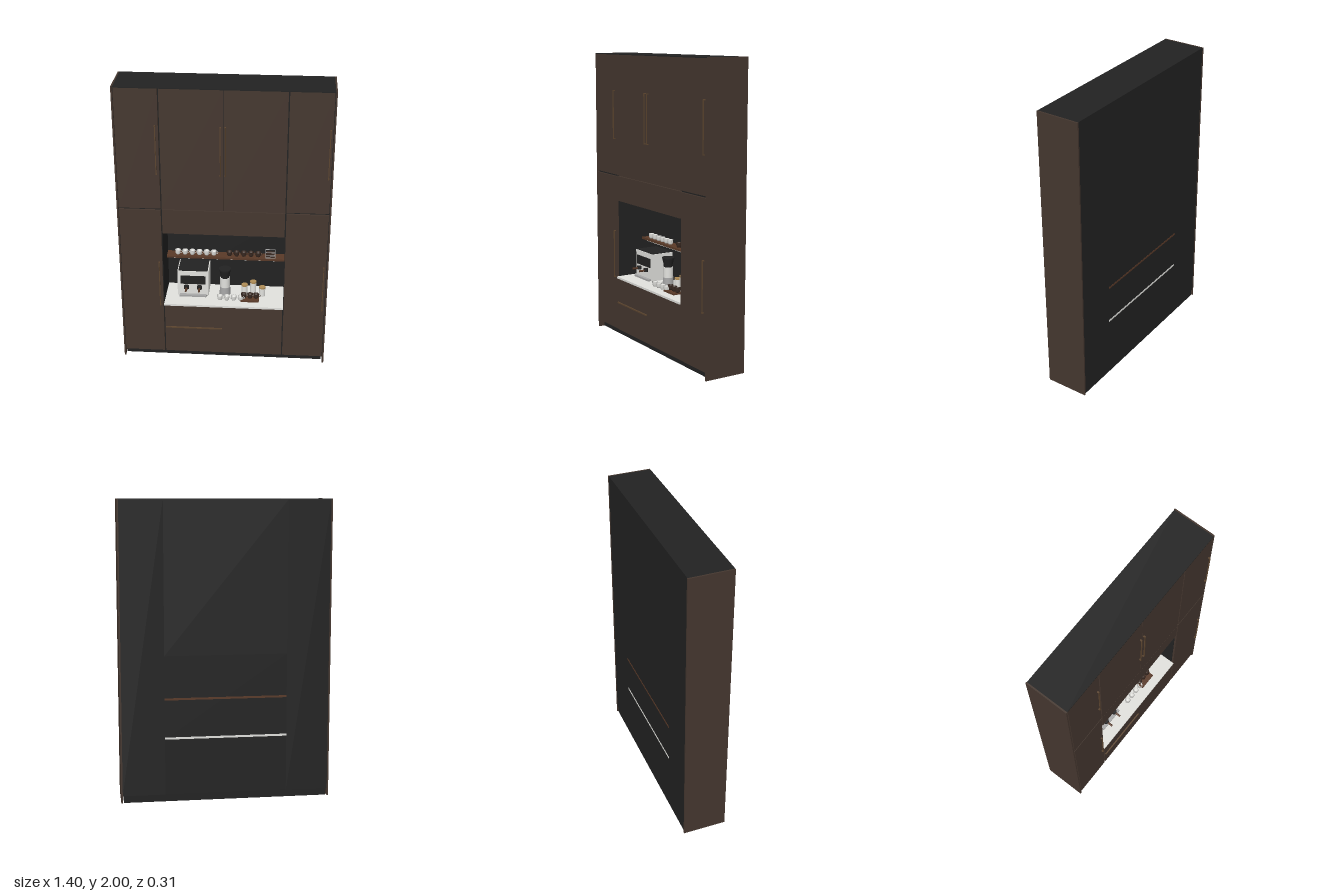
import * as THREE from 'three';

const mat = (name, color) => {
  const m = new THREE.MeshStandardMaterial({ color });
  m.name = name;
  return m;
};

export function createModel() {
  const root = new THREE.Group();
  root.name = 'coffeeCabinet';
  const brown = mat('brownVeneer', 0x45372f);
  const black = mat('blackCarcass', 0x222222);
  const wood = mat('walnut', 0x5a3a28);
  const white = mat('whiteStone', 0xe2e2de);
  const bronze = mat('bronze', 0x5c452f);
  const steel = mat('steel', 0xa8a8a8);
  const gold = mat('goldLid', 0xb08d57);
  const mocha = mat('darkCeramic', 0x3a2a22);

  // Box given by its limits on each axis
  const box = (name, m, x0, x1, y0, y1, z0, z1, parent = root) => {
    const mesh = new THREE.Mesh(new THREE.BoxGeometry(x1 - x0, y1 - y0, z1 - z0), m);
    mesh.position.set((x0 + x1) / 2, (y0 + y1) / 2, (z0 + z1) / 2);
    mesh.name = name;
    parent.add(mesh);
    return mesh;
  };
  // Upright cylinder standing at y
  const cyl = (name, m, rTop, rBottom, h, x, y, z, parent = root) => {
    const mesh = new THREE.Mesh(new THREE.CylinderGeometry(rTop, rBottom, h, 24), m);
    mesh.position.set(x, y + h / 2, z);
    mesh.name = name;
    parent.add(mesh);
    return mesh;
  };
  const group = (name) => {
    const g = new THREE.Group();
    g.name = name;
    root.add(g);
    return g;
  };

  // Carcass around the open niche
  const back = -0.152, inner = 0.126, front = 0.14;
  for (const s of [-1, 1]) {
    const span = (a, b) => (s > 0 ? [a, b] : [-b, -a]);
    box('sidePanel', brown, ...span(0.692, 0.702), 0, 2, -0.155, front);
    box('sideColumn', black, ...span(0.408, 0.692), 0.05, 1.995, back, inner);
    box('upperSideDoor', brown, ...span(0.412, 0.688), 1.167, 1.994, inner, front);
    box('lowerSideDoor', brown, ...span(0.412, 0.688), 0.054, 1.155, inner, front);
    box('upperCentreDoor', brown, ...span(0.001, 0.404), 1.163, 1.994, inner, front);
  }
  box('upperCarcass', black, -0.408, 0.408, 0.985, 1.995, back, inner);
  box('lowerCarcass', black, -0.408, 0.408, 0.05, 0.425, back, inner);
  box('nicheBack', black, -0.408, 0.408, 0.425, 0.985, back, -0.14);
  box('topPanel', black, -0.692, 0.692, 1.994, 2, back, front);
  box('toeKick', black, -0.684, 0.684, 0.002, 0.05, -0.148, 0.1);
  box('nicheHeader', brown, -0.404, 0.404, 0.985, 1.159, inner, front);
  box('drawerFront', brown, -0.404, 0.404, 0.054, 0.424, inner, front);

  // Worktop, shelf and light strips
  box('worktop', white, -0.408, 0.408, 0.426, 0.44, -0.1535, 0.146);
  box('shelf', wood, -0.408, 0.408, 0.69, 0.704, -0.1535, -0.06);
  box('nicheLight', white, -0.38, 0.38, 0.977, 0.985, 0.09, 0.1);
  box('shelfLight', white, -0.36, 0.36, 0.681, 0.69, -0.085, -0.075);

  // Bracket handles
  const handles = [[-0.432, 1.415], [-0.018, 1.415], [0.014, 1.415], [0.672, 1.415], [-0.432, 0.432], [0.672, 0.432]];
  for (const [x, y] of handles) {
    const g = group('doorHandle');
    box('bar', bronze, x - 0.003, x + 0.003, y, y + 0.337, 0.149, 0.155, g);
    for (const py of [y, y + 0.331]) box('post', bronze, x - 0.005, x + 0.005, py, py + 0.006, front, 0.151, g);
  }
  box('drawerHandle', bronze, -0.4, -0.008, 0.248, 0.256, front, 0.149);

  // Cups: lathed open bowl with a ring handle
  const profile = [[0, 0], [0.012, 0], [0.017, 0.008], [0.02, 0.033], [0.018, 0.033], [0.014, 0.009], [0, 0.005]];
  const cupGeo = new THREE.LatheGeometry(profile.map((p) => new THREE.Vector2(...p)), 20);
  const earGeo = new THREE.TorusGeometry(0.008, 0.002, 6, 14);
  const cup = (name, m, x, y, z) => {
    const g = group(name);
    const bowl = new THREE.Mesh(cupGeo, m);
    bowl.name = 'bowl';
    const ear = new THREE.Mesh(earGeo, m);
    ear.name = 'ear';
    ear.position.set(0.021, 0.019, 0);
    g.add(bowl, ear);
    g.position.set(x, y, z);
  };
  for (let i = 0; i < 6; i++) cup('whiteCup', white, -0.333 + i * 0.05, 0.704, -0.095);
  for (let i = 0; i < 5; i++) cup('darkCup', mocha, 0.025 + i * 0.05, 0.704, -0.095);
  for (let i = 0; i < 4; i++) cup('counterCup', white, -0.03 + i * 0.048, 0.44, 0.06);

  // Small wire rack on the shelf
  const rack = group('rack');
  for (const z of [-0.12, -0.075]) {
    for (const y of [0.704, 0.722, 0.746]) box('rail', steel, 0.275, 0.345, y, y + 0.004, z, z + 0.004, rack);
    for (const x of [0.275, 0.341]) box('post', steel, x, x + 0.004, 0.704, 0.75, z, z + 0.004, rack);
  }
  box('rackContents', mocha, 0.281, 0.339, 0.706, 0.738, -0.114, -0.077, rack);

  // Espresso machine
  const em = group('espressoMachine');
  box('body', white, -0.325, -0.11, 0.452, 0.64, -0.13, 0.036, em);
  box('topTray', black, -0.318, -0.117, 0.64, 0.645, -0.124, 0.03, em);
  box('display', black, -0.304, -0.13, 0.543, 0.606, 0.036, 0.041, em);
  box('dripTray', steel, -0.31, -0.125, 0.452, 0.464, 0.036, 0.06, em);
  for (const x of [-0.316, -0.131]) {
    for (const z of [-0.12, 0.014]) box('foot', black, x, x + 0.012, 0.44, 0.452, z, z + 0.012, em);
  }
  for (const x of [-0.262, -0.172]) {
    const head = cyl('brewHead', black, 0.018, 0.018, 0.022, x, 0.512, 0.05, em);
    head.scale.z = 0.8;
    const grip = cyl('portafilterGrip', wood, 0.007, 0.007, 0.04, x, 0.5, 0.08, em);
    grip.rotation.x = Math.PI / 2;
  }

  // Grinder
  const gr = group('grinder');
  cyl('base', steel, 0.036, 0.038, 0.06, 0, 0.44, -0.025, gr);
  cyl('body', white, 0.034, 0.034, 0.072, 0, 0.5, -0.025, gr);
  cyl('neck', black, 0.032, 0.03, 0.012, 0, 0.572, -0.025, gr);
  cyl('hopper', black, 0.04, 0.03, 0.046, 0, 0.584, -0.025, gr);
  cyl('lid', black, 0.042, 0.042, 0.008, 0, 0.63, -0.025, gr);

  // Storage jars with lids
  for (const [x, h] of [[0.137, 0.085], [0.197, 0.112], [0.26, 0.07]]) {
    const g = group('jar');
    cyl('jarBody', white, 0.021, 0.021, h - 0.01, x, 0.44, -0.015, g);
    cyl('jarLid', gold, 0.022, 0.022, 0.01, x, 0.43 + h, -0.015, g);
  }

  // Tray with dark cups
  box('tray', wood, 0.115, 0.24, 0.44, 0.45, 0.01, 0.085);
  for (const x of [0.135, 0.178, 0.22]) cup('trayCup', mocha, x, 0.45, 0.04);

  return root;
}
